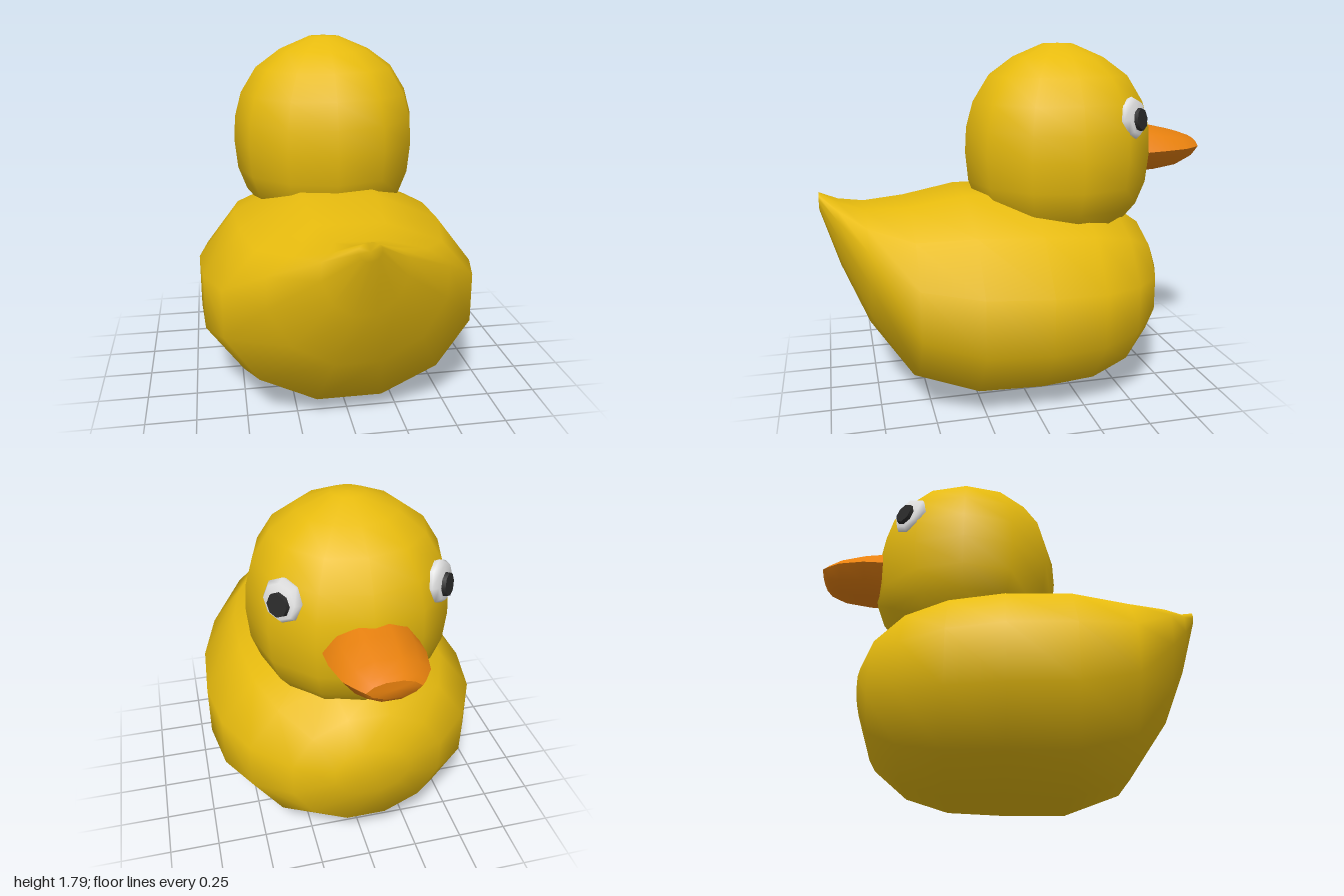
import * as THREE from 'three';
import { toCreasedNormals } from 'three/addons/utils/BufferGeometryUtils.js';

const material = (name, color) => {
  const m = new THREE.MeshStandardMaterial({ color });
  m.name = name;
  return m;
};

// Skin a list of equal-length rings (ordered from -z to +z) and cap both ends.
function loft(rings) {
  const n = rings[0].length;
  const pos = rings.flat();
  const index = [];
  for (let i = 0; i < rings.length - 1; i++) {
    for (let j = 0; j < n; j++) {
      const a = i * n + j, b = i * n + (j + 1) % n;
      index.push(a, b, b + n, a, b + n, a + n);
    }
  }
  const cap = (ring, start, flip) => {
    const c = new THREE.Vector3();
    ring.forEach(p => c.add(p));
    pos.push(c.divideScalar(n));
    const k = pos.length - 1;
    for (let j = 0; j < n; j++) {
      const a = start + j, b = start + (j + 1) % n;
      index.push(k, flip ? b : a, flip ? a : b);
    }
  };
  cap(rings[0], 0, true);
  cap(rings[rings.length - 1], (rings.length - 1) * n, false);
  const g = new THREE.BufferGeometry().setFromPoints(pos);
  g.setIndex(index);
  g.computeVertexNormals();
  return g;
}

// Twelve-sided oval; mid is the height fraction of its widest line.
function bodyRing([z, top, bottom, halfWidth, mid]) {
  const yMid = bottom + (top - bottom) * mid;
  const kx = Math.cos(Math.PI / 12);
  return Array.from({ length: 12 }, (_, j) => {
    const t = Math.PI / 12 + j * Math.PI / 6;
    const s = Math.sin(t) / kx;
    return new THREE.Vector3(
      halfWidth * Math.cos(t) / kx,
      yMid + s * (s > 0 ? top - yMid : yMid - bottom), z);
  });
}

// Lens-shaped bill section with sharp side edges.
function billRing([z, top, bottom, halfWidth, mid]) {
  const half = [[1, 0], [0.72, 0.62], [0.3, 0.96], [-0.3, 0.96], [-0.72, 0.62]];
  const up = half.map(([x, y]) => new THREE.Vector3(x * halfWidth, mid + y * (top - mid), z));
  const down = half.map(([x, y]) => new THREE.Vector3(-x * halfWidth, mid - y * (mid - bottom), z));
  return [...up, ...down];
}

export function createModel() {
  const model = new THREE.Group();
  model.name = 'duck';
  const yellow = material('yellow', 0xedc00f);
  const orange = material('orange', 0xea820e);
  const white = material('white', 0xe6e6e6);
  const black = material('black', 0x2b2b2b);
  const add = (parent, name, geometry, mat) => {
    const mesh = new THREE.Mesh(geometry, mat);
    mesh.name = name;
    parent.add(mesh);
    return mesh;
  };

  // Body from breast (-z) to upturned tail (+z): z, top, bottom, half width, mid
  const body = [
    [-0.75, 0.70, 0.44, 0.18, 0.5],
    [-0.67, 0.84, 0.20, 0.37, 0.5],
    [-0.51, 0.95, 0.07, 0.55, 0.5],
    [-0.30, 1.01, 0.01, 0.66, 0.5],
    [-0.03, 1.04, 0.00, 0.705, 0.5],
    [0.29, 1.05, 0.00, 0.685, 0.51],
    [0.57, 1.00, 0.10, 0.60, 0.56],
    [0.78, 0.99, 0.40, 0.41, 0.68],
    [0.91, 1.02, 0.70, 0.19, 0.72],
    [1.00, 1.065, 0.98, 0.05, 0.6],
  ];
  add(model, 'body', loft(body.map(bodyRing)), yellow);

  // Head
  const headProfile = [
    [0, 0.74], [0.24, 0.79], [0.35, 0.87], [0.43, 0.97], [0.475, 1.09], [0.49, 1.24],
    [0.483, 1.37], [0.447, 1.50], [0.365, 1.63], [0.24, 1.72], [0.08, 1.787], [0, 1.79],
  ].map(([x, y]) => new THREE.Vector2(x, y));
  const head = add(model, 'head', new THREE.LatheGeometry(headProfile, 12), yellow);
  head.position.z = -0.235;

  // Bill
  const bill = [
    [-1.00, 1.285, 1.20, 0.12, 1.245],
    [-0.97, 1.30, 1.165, 0.145, 1.245],
    [-0.90, 1.325, 1.135, 0.19, 1.243],
    [-0.77, 1.355, 1.115, 0.218, 1.24],
    [-0.66, 1.375, 1.11, 0.22, 1.235],
  ];
  add(model, 'bill', toCreasedNormals(loft(bill.map(billRing)), 0.85), orange);

  // Eyes: bevelled white disc with a dark pupil
  const whiteProfile = [[0.09, -0.04], [0.104, 0], [0.085, 0.025], [0, 0.03]]
    .map(([x, y]) => new THREE.Vector2(x, y));
  for (const side of [1, -1]) {
    const eye = new THREE.Group();
    eye.name = side > 0 ? 'leftEye' : 'rightEye';
    const normal = new THREE.Vector3(side * 0.75, 0.14, -0.66).normalize();
    eye.quaternion.setFromUnitVectors(new THREE.Vector3(0, 1, 0), normal);
    eye.position.set(side * 0.36, 1.435, -0.52);
    add(eye, 'eyeWhite', new THREE.LatheGeometry(whiteProfile, 8), white);
    const pupil = add(eye, 'pupil', new THREE.CylinderGeometry(0.054, 0.06, 0.03, 8), black);
    pupil.position.set(side * 0.005, 0.03, -0.01);
    model.add(eye);
  }
  return model;
}
